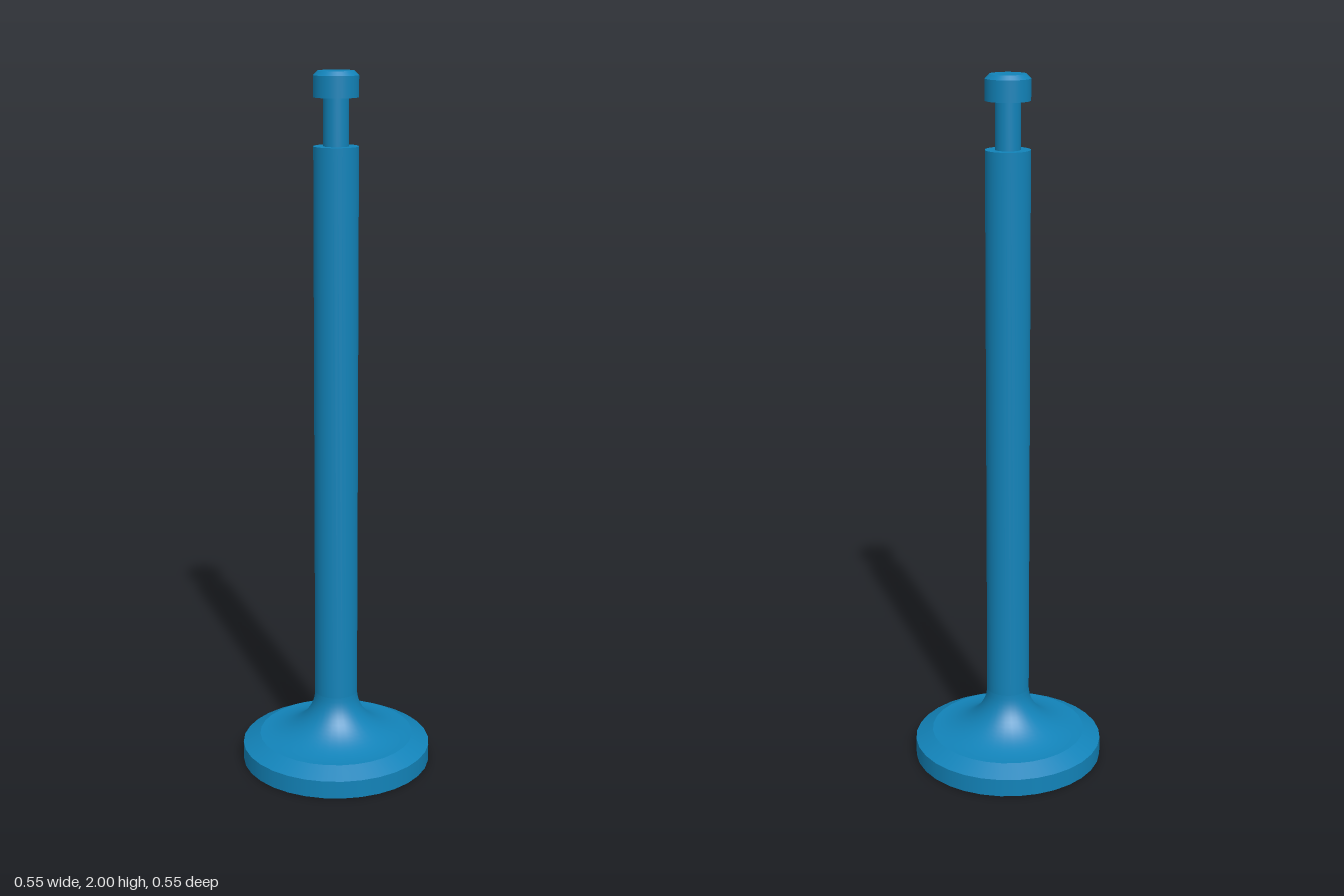
import * as THREE from 'three';
import { mergeGeometries } from 'three/addons/utils/BufferGeometryUtils.js';

const SIDES = 32;
const material = new THREE.MeshStandardMaterial({ color: 0x1283b9 });

// Revolves each profile (listed bottom to top, outside) separately, so the joints stay sharp
function turned(name, ...profiles) {
  const bands = profiles.map((profile) =>
    new THREE.LatheGeometry(profile.map(([r, y]) => new THREE.Vector2(r, y)), SIDES));
  const mesh = new THREE.Mesh(mergeGeometries(bands), material);
  mesh.name = name;
  return mesh;
}

// Splits a straight-sided outline into one sharp-edged band per side
const facets = (outline) => outline.slice(1).map((p, i) => [outline[i], p]);

export function createModel() {
  const group = new THREE.Group();
  group.name = 'engineValve';

  const headR = 0.275, seatR = 0.225, seatY = 0.078;
  const stemR = 0.062, filletY = 0.21, stemTop = 1.8;
  const neckR = 0.035, neckTop = 1.93;

  // Disc head with its chamfered seat
  group.add(turned('head', ...facets([[0, 0], [headR, 0], [headR, 0.052], [seatR, seatY]])));

  // Concave flare from the head up to the stem
  const flare = [];
  for (let i = 0; i <= 16; i++) {
    const a = (i / 16) * Math.PI / 2;
    flare.push([
      seatR - (seatR - stemR) * Math.sin(a),
      filletY - (filletY - seatY) * Math.cos(a),
    ]);
  }
  group.add(turned('flare', flare));

  // Stem with its top shoulder
  group.add(turned('stem', ...facets([[stemR, filletY], [stemR, stemTop], [neckR, stemTop]])));

  // Narrow keeper groove
  group.add(turned('keeperGroove', [[neckR, stemTop], [neckR, neckTop]]));

  // Tip with a small chamfer
  group.add(turned('tip', ...facets([
    [neckR, neckTop], [stemR, neckTop], [stemR, 1.988], [0.05, 2], [0, 2],
  ])));

  return group;
}
